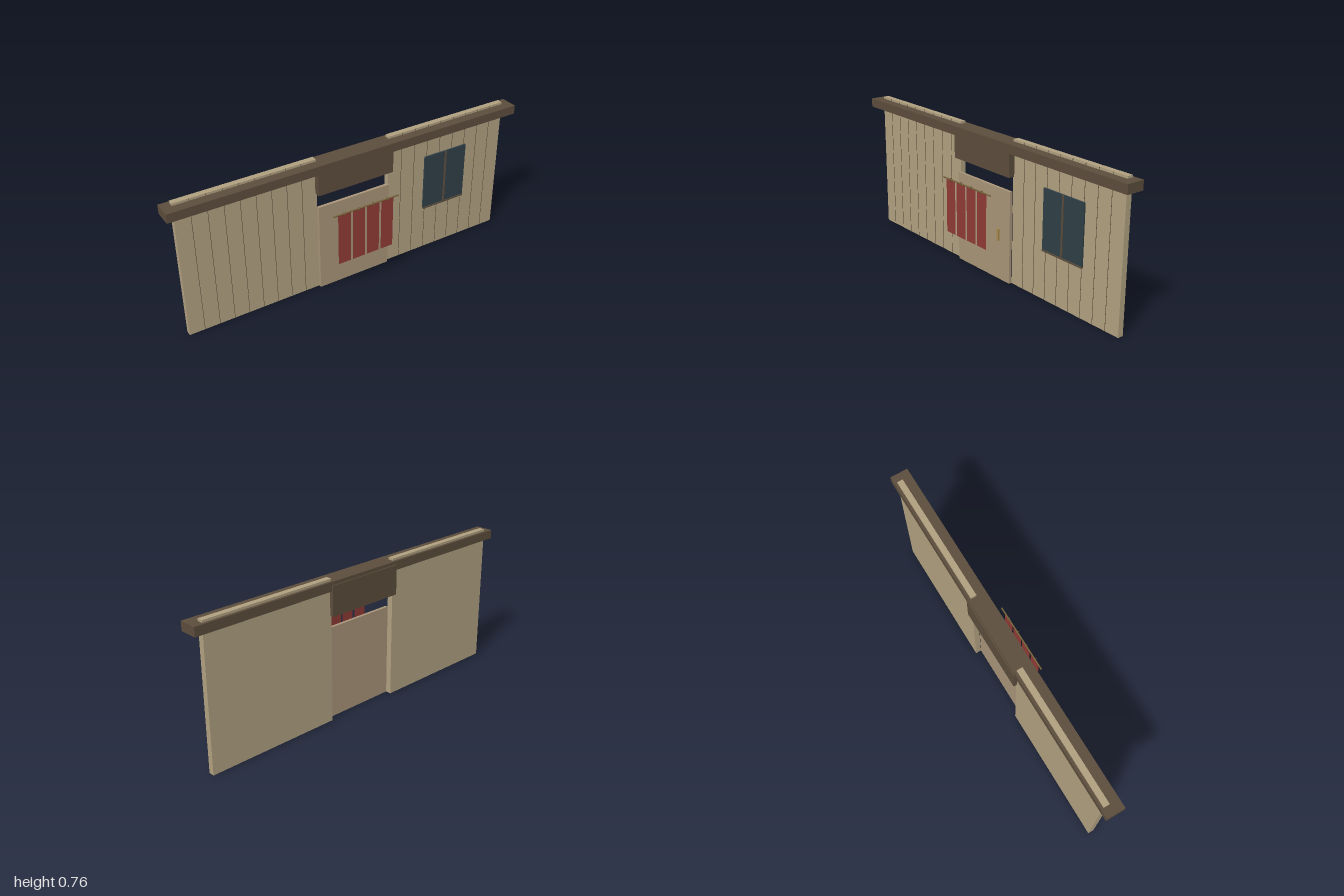
import * as THREE from 'three';

const paint = (color, side = THREE.FrontSide) => new THREE.MeshStandardMaterial({ color, side });

export function createModel() {
  const group = new THREE.Group();
  const wood = paint(0xb0a080);
  const doorWood = paint(0xa89478);
  const darkWood = paint(0x5c4d3c);
  const glass = paint(0x2f4046);
  const brass = paint(0xa88c4c);
  const rodMetal = paint(0x75623a);
  const cloth = paint(0x8f3a34, THREE.DoubleSide);

  const add = (name, geometry, material, x, y, z) => {
    const mesh = new THREE.Mesh(geometry, material);
    mesh.name = name;
    mesh.position.set(x, y, z);
    group.add(mesh);
    return mesh;
  };
  // Box given by its lower and upper limits on each axis
  const box = (name, material, [x0, x1], [y0, y1], [z0, z1]) =>
    add(name, new THREE.BoxGeometry(x1 - x0, y1 - y0, z1 - z0), material,
      (x0 + x1) / 2, (y0 + y1) / 2, (z0 + z1) / 2);

  // Walls on either side of the doorway, with thin seams between planks
  const inner = 0.212, outer = 0.95, planks = 9;
  for (const side of [-1, 1]) {
    const name = side > 0 ? 'left' : 'right';
    const [x0, x1] = side > 0 ? [inner, outer] : [-outer, -inner];
    box(name + 'Wall', wood, [x0, x1], [0, 0.765], [-0.073, -0.042]);
    for (let i = 1; i < planks; i++) {
      const x = x0 + (x1 - x0) * i / planks;
      box(name + 'PlankSeam', darkWood, [x - 0.001, x + 0.001], [0, 0.765], [-0.044, -0.0405]);
    }
  }

  // Top beam and the deeper lintel over the doorway
  box('topBeam', darkWood, [-1, 1], [0.705, 0.753], [-0.087, 0.01]);
  box('lintel', darkWood, [-0.22, 0.22], [0.575, 0.735], [-0.093, -0.008]);

  // Door and its handle
  box('door', doorWood, [-0.212, 0.209], [0, 0.495], [-0.042, -0.026]);
  box('doorHandle', brass, [0.122, 0.134], [0.215, 0.28], [-0.023, -0.014]);

  // Window with mullion and sill
  box('windowPane', glass, [0.443, 0.712], [0.268, 0.58], [-0.043, -0.033]);
  box('windowMullion', darkWood, [0.573, 0.583], [0.265, 0.58], [-0.042, -0.029]);
  box('windowSill', darkWood, [0.443, 0.712], [0.26, 0.268], [-0.042, -0.029]);

  // Curtain rod with four hanging cloth panels and their rings
  const rodY = 0.495, rodZ = 0.085;
  add('curtainRod', new THREE.CylinderGeometry(0.004, 0.004, 0.385, 12), rodMetal, 0, rodY, rodZ)
    .rotation.z = Math.PI / 2;
  for (let i = 0; i < 4; i++) {
    const x = -0.131 + i * 0.085;
    add('curtainPanel', new THREE.PlaneGeometry(0.073, 0.29), cloth, x, 0.345, rodZ);
    add('curtainRing', new THREE.TorusGeometry(0.007, 0.002, 8, 20), rodMetal, x, rodY, rodZ)
      .rotation.y = Math.PI / 2;
  }
  return group;
}
